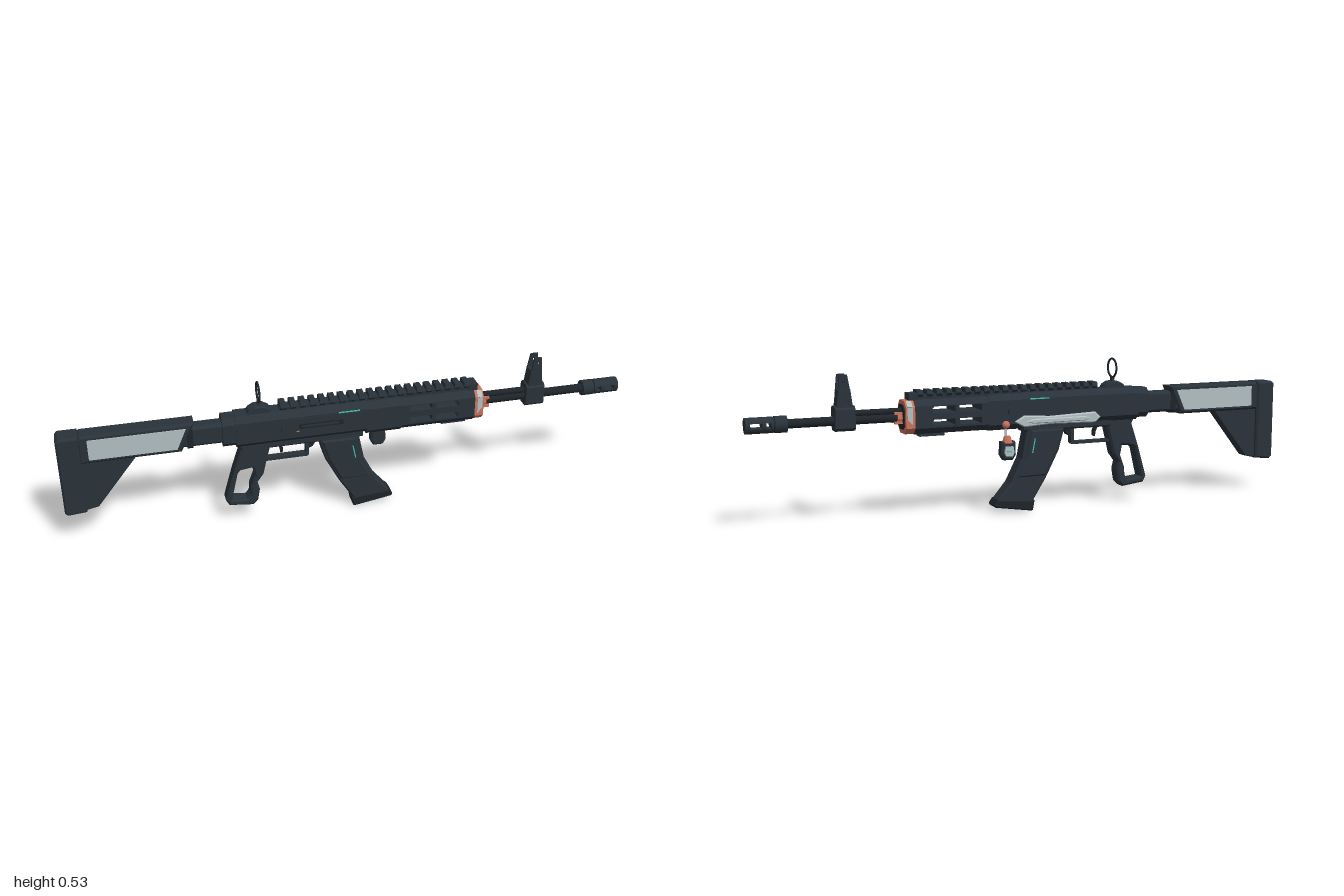
import * as THREE from 'three';

export function createModel() {
  const model = new THREE.Group();
  const gun = new THREE.Group();
  gun.name = 'rifle';
  gun.position.z = 0.017;
  model.add(gun);

  const mat = (name, color, side = THREE.FrontSide) => {
    const m = new THREE.MeshStandardMaterial({ color, side });
    m.name = name;
    return m;
  };
  const dark = mat('dark slate', 0x29323a);
  const black = mat('near black', 0x1e2429);
  const silver = mat('pale silver', 0xb2bfc2);
  const copper = mat('copper', 0xc8725a);
  const teal = mat('teal', 0x3fc4b0);

  const add = (name, geo, m, x = 0, y = 0, z = 0) => {
    const mesh = new THREE.Mesh(geo, m);
    mesh.name = name;
    mesh.position.set(x, y, z);
    gun.add(mesh);
    return mesh;
  };
  const toShape = (pts, holes = []) => {
    const s = new THREE.Shape(pts.map(p => new THREE.Vector2(...p)));
    holes.forEach(h => s.holes.push(new THREE.Path(h.map(p => new THREE.Vector2(...p)))));
    return s;
  };
  // Side outline extruded across z, with chamfered edges
  const plate = (name, pts, width, m, { holes, bevel = 0, z = 0 } = {}) => {
    const geo = new THREE.ExtrudeGeometry(toShape(pts, holes), {
      depth: width - 2 * bevel, bevelEnabled: bevel > 0, bevelSize: bevel,
      bevelThickness: bevel, bevelOffset: -bevel, bevelSegments: 1, curveSegments: 8,
    });
    geo.translate(0, 0, bevel - width / 2);
    return add(name, geo, m, 0, 0, z);
  };
  // Cross-section (z, y) extruded along x
  const bar = (name, x0, x1, pts, m) => {
    const geo = new THREE.ExtrudeGeometry(toShape(pts), { depth: x1 - x0, bevelEnabled: false, curveSegments: 8 });
    geo.rotateY(Math.PI / 2);
    return add(name, geo, m, x0);
  };
  const octagon = (h, y0, y1, c) => [
    [-h + c, y0], [h - c, y0], [h, y0 + c], [h, y1 - c], [h - c, y1], [-h + c, y1], [-h, y1 - c], [-h, y0 + c]];
  const rect = (x0, x1, y0, y1) => [[x0, y0], [x1, y0], [x1, y1], [x0, y1]];
  const box = (name, x0, x1, y0, y1, w, m, z = 0) =>
    add(name, new THREE.BoxGeometry(x1 - x0, y1 - y0, w), m, (x0 + x1) / 2, (y0 + y1) / 2, z);
  const rod = (name, x0, x1, y, r, m, sides = 16) =>
    add(name, new THREE.CylinderGeometry(r, r, x1 - x0, sides).rotateZ(Math.PI / 2), m, (x0 + x1) / 2, y);

  // Stock
  plate('buttPlate', [[-1, 0.13], [-0.99, 0.12], [-0.925, 0.125], [-0.925, 0.42], [-0.99, 0.42], [-1, 0.41]],
    0.074, dark, { bevel: 0.007 });
  plate('stockBody', [[-0.93, 0.315], [-0.59, 0.315], [-0.543, 0.42], [-0.92, 0.42], [-0.93, 0.41]],
    0.066, dark, { bevel: 0.008 });
  plate('stockStrut', [[-0.93, 0.125], [-0.885, 0.135], [-0.74, 0.318], [-0.93, 0.318]], 0.046, dark,
    { bevel: 0.004, holes: [[[-0.893, 0.215], [-0.893, 0.312], [-0.807, 0.312]]] });
  for (const s of [-1, 1]) {
    plate('stockPanel', [[-0.898, 0.33], [-0.605, 0.33], [-0.572, 0.405], [-0.898, 0.405]], 0.006, silver, { z: s * 0.033 });
  }
  bar('stockTube', -0.6, -0.44, octagon(0.027, 0.325, 0.402, 0.01), dark);
  bar('stockTubeCollar', -0.57, -0.55, octagon(0.03, 0.32, 0.407, 0.01), black);

  // Receiver
  bar('rearBlock', -0.45, -0.4, octagon(0.042, 0.312, 0.42, 0.02), dark);
  bar('receiver', -0.405, 0.05, octagon(0.046, 0.305, 0.424, 0.02), dark);
  bar('frontBlock', 0.05, 0.177, octagon(0.048, 0.298, 0.422, 0.02), dark);
  plate('portCover', [[-0.25, 0.345], [0.02, 0.345], [0.035, 0.36], [0.035, 0.4], [-0.24, 0.4], [-0.25, 0.39]],
    0.006, dark, { z: 0.047, holes: [rect(-0.19, -0.035, 0.357, 0.378)] });
  box('ejectionPort', -0.19, -0.035, 0.357, 0.378, 0.002, black, 0.0465);
  box('portBolt', -0.18, -0.05, 0.364, 0.371, 0.005, dark, 0.0475);
  box('portAccent', -0.2, -0.19, 0.35, 0.354, 0.003, copper, 0.0495);
  for (const s of [-1, 1]) box('tealLine', -0.05, 0.025, 0.401, 0.405, 0.004, teal, s * 0.0452);
  bar('lowerReceiver', -0.3, 0.04, octagon(0.03, 0.285, 0.315, 0.006), dark);

  // Handguard with open vents
  const vents = [];
  for (const [y0, y1] of [[0.329, 0.35], [0.373, 0.395]]) {
    vents.push(rect(0.205, 0.285, y0, y1));
    vents.push([[0.3, y0], [0.38, y0], [0.385, (y0 + y1) / 2], [0.375, y1], [0.3, y1]]);
  }
  plate('handguard', rect(0.177, 0.443, 0.322, 0.398), 0.094, dark, { holes: vents });
  bar('handguardTop', 0.177, 0.443, [[-0.047, 0.398], [0.047, 0.398], [0.027, 0.418], [-0.027, 0.418]], dark);
  bar('handguardBottom', 0.177, 0.443, [[-0.027, 0.301], [0.027, 0.301], [0.047, 0.322], [-0.047, 0.322]], dark);
  box('handguardLip', 0.33, 0.42, 0.29, 0.302, 0.036, dark);

  // Copper collar
  bar('collar', 0.443, 0.475, octagon(0.047, 0.303, 0.416, 0.021), copper);
  bar('collarFace', 0.474, 0.479, octagon(0.034, 0.318, 0.402, 0.016), black);
  rod('collarNut', 0.475, 0.495, 0.358, 0.022, copper, 8);
  for (let i = 0; i < 4; i++) {
    const a = Math.PI / 4 + i * Math.PI / 2;
    add('collarProng', new THREE.BoxGeometry(0.032, 0.009, 0.009), copper, 0.49, 0.358 + 0.022 * Math.sin(a), 0.022 * Math.cos(a));
  }
  for (const s of [-1, 1]) {
    plate('collarInlay', [[0.452, 0.335], [0.47, 0.355], [0.47, 0.395], [0.452, 0.395]], 0.004, silver, { z: s * 0.047 });
    const bevelInlay = add('collarBevelInlay', new THREE.BoxGeometry(0.018, 0.026, 0.004), silver, 0.461, 0.4055, s * 0.0365);
    bevelInlay.rotation.x = -s * Math.PI / 4;
  }

  // Top rail
  box('railBase', -0.25, 0.457, 0.415, 0.434, 0.04, dark);
  for (let i = 0; i < 20; i++) {
    const x = -0.248 + i * 0.0345;
    bar('railTooth', x, x + 0.02, [[-0.02, 0.426], [0.02, 0.426], [0.027, 0.435], [0.021, 0.449], [-0.021, 0.449], [-0.027, 0.435]], dark);
  }
  box('railEnd', 0.425, 0.457, 0.414, 0.44, 0.05, dark);

  // Rear ring sight
  plate('rearSightBase', [[-0.365, 0.42], [-0.275, 0.42], [-0.285, 0.436], [-0.305, 0.447], [-0.335, 0.447], [-0.355, 0.436]],
    0.046, dark, { bevel: 0.003 });
  box('rearSightStem', -0.324, -0.314, 0.44, 0.463, 0.016, dark);
  add('rearSightRing', new THREE.TorusGeometry(0.0335, 0.0038, 8, 32).rotateY(Math.PI / 2), black, -0.319, 0.4945);

  // Barrel, gas tube and front sight
  rod('barrel', 0.47, 0.9, 0.358, 0.0155, black);
  rod('gasTube', 0.47, 0.66, 0.38, 0.011, black);
  bar('frontSightBase', 0.642, 0.71, octagon(0.029, 0.325, 0.408, 0.01), dark);
  plate('frontSightTower', [[0.648, 0.4], [0.704, 0.4], [0.697, 0.462], [0.656, 0.462]], 0.046, dark, { bevel: 0.002 });
  for (const s of [-1, 1]) {
    plate('frontSightWing', [[0.656, 0.455], [0.698, 0.455], [0.692, 0.512], [0.666, 0.512]], 0.007, dark,
      { z: s * 0.0185, holes: [rect(0.675, 0.684, 0.485, 0.494)] });
  }
  add('frontSightPin', new THREE.CylinderGeometry(0.001, 0.005, 0.036, 8), black, 0.677, 0.478);

  // Muzzle device: upper and lower shells joined by webs around the slots
  rod('muzzleRing', 0.865, 0.905, 0.358, 0.028, dark);
  rod('muzzleNeck', 0.9, 0.912, 0.358, 0.024, black);
  const r = 0.027, cap = 0.009;
  const arc = s => {
    const a0 = Math.asin(cap / r), pts = [];
    for (let i = 0; i <= 8; i++) {
      const a = a0 + (Math.PI - 2 * a0) * i / 8;
      pts.push([r * Math.cos(a), 0.358 + s * r * Math.sin(a)]);
    }
    return pts;
  };
  for (const s of [-1, 1]) bar('muzzleShell', 0.91, 1, arc(s), dark);
  for (const [x0, x1] of [[0.91, 0.917], [0.934, 0.946], [0.985, 1]]) rod('muzzleWeb', x0, x1, 0.358, r - 0.0005, dark);
  rod('muzzleBore', 0.999, 1, 0.358, 0.014, black);

  // Grip, trigger and guard
  plate('grip', [[-0.4, 0.31], [-0.39, 0.29], [-0.42, 0.2], [-0.452, 0.09], [-0.44, 0.068], [-0.355, 0.058], [-0.338, 0.075],
    [-0.33, 0.12], [-0.337, 0.15], [-0.315, 0.18], [-0.308, 0.21], [-0.29, 0.28], [-0.285, 0.31]], 0.054, dark,
    { bevel: 0.007, holes: [[[-0.43, 0.09], [-0.405, 0.195], [-0.395, 0.206], [-0.352, 0.212], [-0.345, 0.175], [-0.362, 0.13], [-0.364, 0.1], [-0.376, 0.084]]] });
  plate('triggerGuard', [[-0.302, 0.226], [-0.155, 0.226], [-0.15, 0.232], [-0.15, 0.295], [-0.161, 0.295], [-0.161, 0.236], [-0.302, 0.236]],
    0.026, dark);
  plate('trigger', [[-0.262, 0.29], [-0.25, 0.262], [-0.25, 0.248], [-0.242, 0.25], [-0.24, 0.265], [-0.247, 0.29]], 0.012, black);
  plate('magazineCatch', [[-0.165, 0.29], [-0.15, 0.255], [-0.135, 0.262], [-0.12, 0.29]], 0.02, black);

  // Curved magazine
  plate('magazine', [[-0.12, 0.3], [-0.095, 0.212], [-0.045, 0.115], [0.012, 0.025], [0.145, 0.04], [0.09, 0.105],
    [0.047, 0.19], [0.025, 0.3]], 0.062, dark, { bevel: 0.006 });
  plate('magazineSleeve', [[-0.108, 0.29], [-0.085, 0.212], [-0.04, 0.125], [0.067, 0.125], [0.035, 0.19], [0.016, 0.29]],
    0.078, dark, { bevel: 0.006 });
  plate('magazineFloor', [[0.006, 0.003], [0.012, 0], [0.148, 0.022], [0.152, 0.03], [0.14, 0.048], [0, 0.037]],
    0.066, black, { bevel: 0.004 });
  for (const s of [-1, 1]) {
    plate('magazineTealLine', [[0.01, 0.21], [0.014, 0.21], [0.004, 0.26], [0, 0.26]], 0.002, teal, { z: s * 0.0392 });
  }

  // Bolt knob and silver blade on the far side
  add('knobStem', new THREE.CylinderGeometry(0.007, 0.007, 0.014, 10).rotateX(Math.PI / 2), black, 0.1, 0.367, -0.05);
  add('knob', new THREE.CylinderGeometry(0.013, 0.013, 0.01, 12).rotateX(Math.PI / 2), dark, 0.1, 0.367, -0.06);
  plate('sidePlate', [[-0.245, 0.326], [-0.225, 0.308], [-0.05, 0.312], [0.05, 0.306], [0.085, 0.326], [0.05, 0.346],
    [-0.05, 0.34], [-0.225, 0.346]], 0.014, silver, { bevel: 0.004, z: -0.053 });
  plate('sidePlateRidge', [[-0.2, 0.326], [-0.18, 0.318], [0.02, 0.318], [0.045, 0.326], [0.02, 0.334], [-0.18, 0.334]],
    0.01, silver, { bevel: 0.003, z: -0.063 });

  // Hanging charm
  add('charmHook', new THREE.SphereGeometry(0.014, 10, 8), copper, 0.118, 0.318, -0.053);
  box('charmStrap', 0.114, 0.122, 0.275, 0.312, 0.004, silver, -0.05);
  add('charmCap', new THREE.CylinderGeometry(0.012, 0.02, 0.024, 8), copper, 0.117, 0.268, -0.061);
  plate('charmBody', [[0.1, 0.197], [0.134, 0.197], [0.145, 0.215], [0.143, 0.262], [0.091, 0.262], [0.089, 0.215]],
    0.035, dark, { bevel: 0.007, z: -0.06 });
  plate('charmFace', [[0.105, 0.212], [0.129, 0.212], [0.135, 0.225], [0.131, 0.246], [0.103, 0.246], [0.099, 0.225]],
    0.008, silver, { z: -0.081 });
  box('charmTeal', 0.109, 0.125, 0.226, 0.231, 0.001, teal, -0.0852);

  return model;
}
